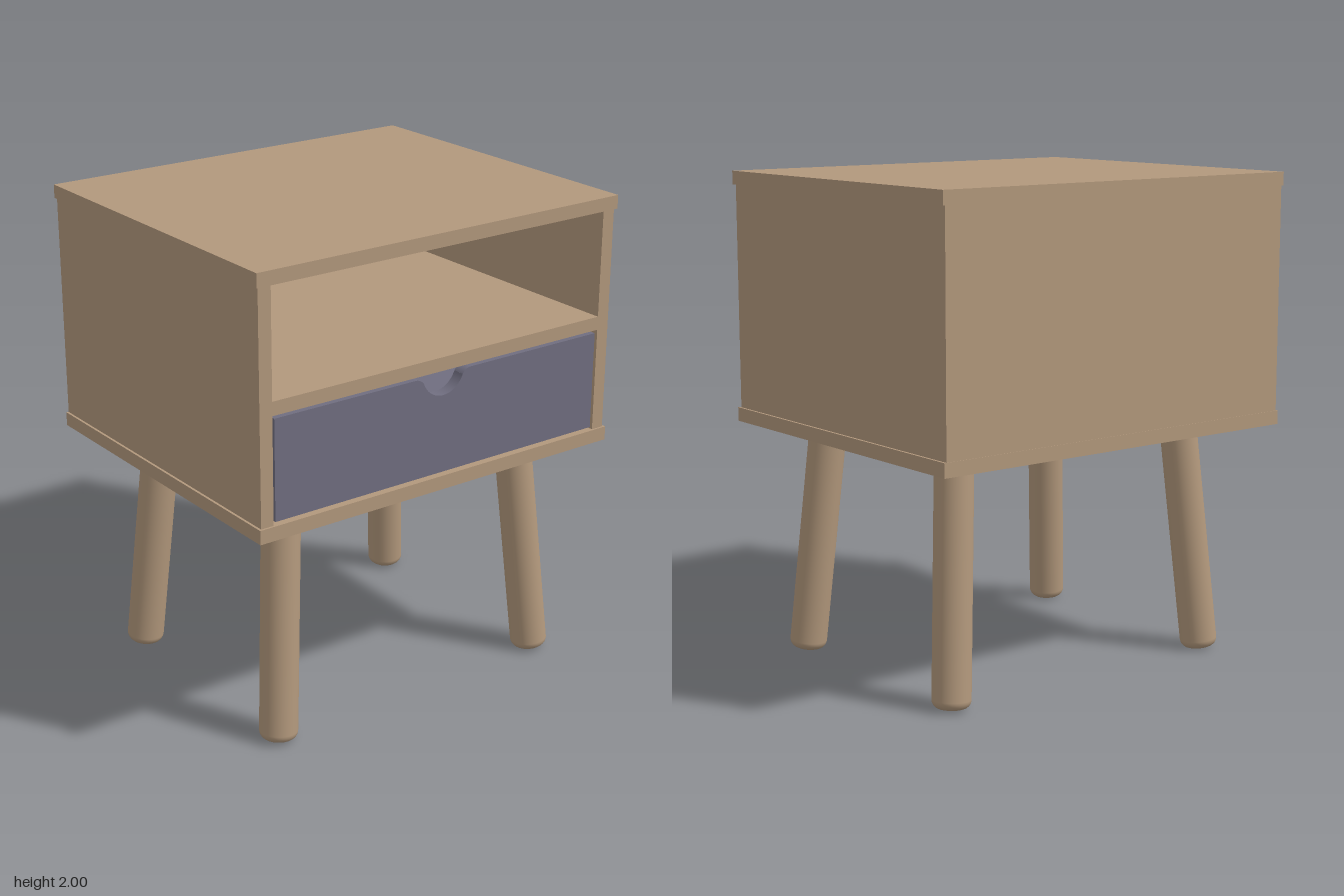
import * as THREE from 'three';

const wood = new THREE.MeshStandardMaterial({ color: 0xb2987c });
wood.name = 'wood';
const blue = new THREE.MeshStandardMaterial({ color: 0x706e80 });
blue.name = 'slateBlue';

// Box given by its minimum and maximum on each axis
function box(parent, name, material, [x0, x1], [y0, y1], [z0, z1]) {
  const mesh = new THREE.Mesh(new THREE.BoxGeometry(x1 - x0, y1 - y0, z1 - z0), material);
  mesh.position.set((x0 + x1) / 2, (y0 + y1) / 2, (z0 + z1) / 2);
  mesh.name = name;
  parent.add(mesh);
}

// Drawer front with a rounded finger notch in its top edge
function drawerFront() {
  const s = new THREE.Shape();
  s.moveTo(-0.775, 1.038);
  s.lineTo(0.775, 1.038);
  s.lineTo(0.775, 1.442);
  s.lineTo(0.135, 1.442);
  s.quadraticCurveTo(0.11, 1.442, 0.094, 1.42);
  const a = Math.asin(0.035 / 0.1);
  s.absarc(0, 1.455, 0.1, -a, -Math.PI + a, true);
  s.quadraticCurveTo(-0.11, 1.442, -0.135, 1.442);
  s.lineTo(-0.775, 1.442);
  s.closePath();
  const geo = new THREE.ExtrudeGeometry(s, { depth: 0.05, bevelEnabled: false, curveSegments: 24 });
  const mesh = new THREE.Mesh(geo, blue);
  mesh.position.z = 0.655;
  mesh.name = 'drawerFront';
  return mesh;
}

// Round leg with softened foot, standing along the line from foot to head
function leg(sx, topZ, footZ) {
  const foot = new THREE.Vector3(sx * 0.652, 0.006, footZ);
  const head = new THREE.Vector3(sx * 0.578, 0.965, topZ);
  const axis = head.clone().sub(foot);
  const length = axis.length();
  const r = 0.077, round = 0.035;
  const points = [new THREE.Vector2(0, 0)];
  for (let i = 0; i <= 6; i++) {
    const t = (i / 6) * Math.PI / 2;
    points.push(new THREE.Vector2(r - round + round * Math.sin(t), round - round * Math.cos(t)));
  }
  points.push(new THREE.Vector2(r, length - 0.02), new THREE.Vector2(r, length));
  const mesh = new THREE.Mesh(new THREE.LatheGeometry(points, 32), wood);
  mesh.position.copy(foot);
  mesh.quaternion.setFromUnitVectors(new THREE.Vector3(0, 1, 0), axis.normalize());
  mesh.name = 'leg';
  return mesh;
}

export function createModel() {
  const model = new THREE.Group();
  model.name = 'nightstand';

  // Cabinet shell
  const cabinet = new THREE.Group();
  cabinet.name = 'cabinet';
  const depth = [-0.717, 0.717];
  box(cabinet, 'topPanel', wood, [-0.85, 0.85], [1.945, 2], depth);
  box(cabinet, 'bottomPanel', wood, [-0.85, 0.85], [0.97, 1.027], depth);
  box(cabinet, 'leftSide', wood, [0.785, 0.84], [1.027, 1.945], [-0.715, 0.708]);
  box(cabinet, 'rightSide', wood, [-0.84, -0.785], [1.027, 1.945], [-0.715, 0.708]);
  box(cabinet, 'backPanel', wood, [-0.785, 0.785], [1.027, 1.945], [-0.715, -0.66]);
  box(cabinet, 'shelf', wood, [-0.785, 0.785], [1.455, 1.51], [-0.66, 0.708]);
  model.add(cabinet);

  // Drawer
  const drawer = new THREE.Group();
  drawer.name = 'drawer';
  drawer.add(drawerFront());
  box(drawer, 'drawerBottom', blue, [-0.765, 0.765], [1.045, 1.07], [-0.6, 0.655]);
  box(drawer, 'drawerBack', blue, [-0.765, 0.765], [1.07, 1.435], [-0.6, -0.56]);
  for (const s of [-1, 1]) {
    const xs = [s * 0.725, s * 0.765].sort((a, b) => a - b);
    box(drawer, 'drawerSide', blue, xs, [1.07, 1.435], [-0.56, 0.655]);
  }
  model.add(drawer);

  // Legs with mounting plates and collars
  for (const sx of [-1, 1]) {
    for (const [topZ, footZ] of [[0.454, 0.528], [-0.41, -0.484]]) {
      const x = sx * 0.582;
      box(model, 'mountingPlate', wood, [x - 0.173, x + 0.173], [0.964, 0.97], [topZ - 0.174, topZ + 0.174]);
      const collar = new THREE.Mesh(new THREE.CylinderGeometry(0.083, 0.08, 0.016, 32), wood);
      collar.position.set(sx * 0.579, 0.956, topZ);
      collar.name = 'legCollar';
      model.add(collar, leg(sx, topZ, footZ));
    }
  }
  return model;
}
